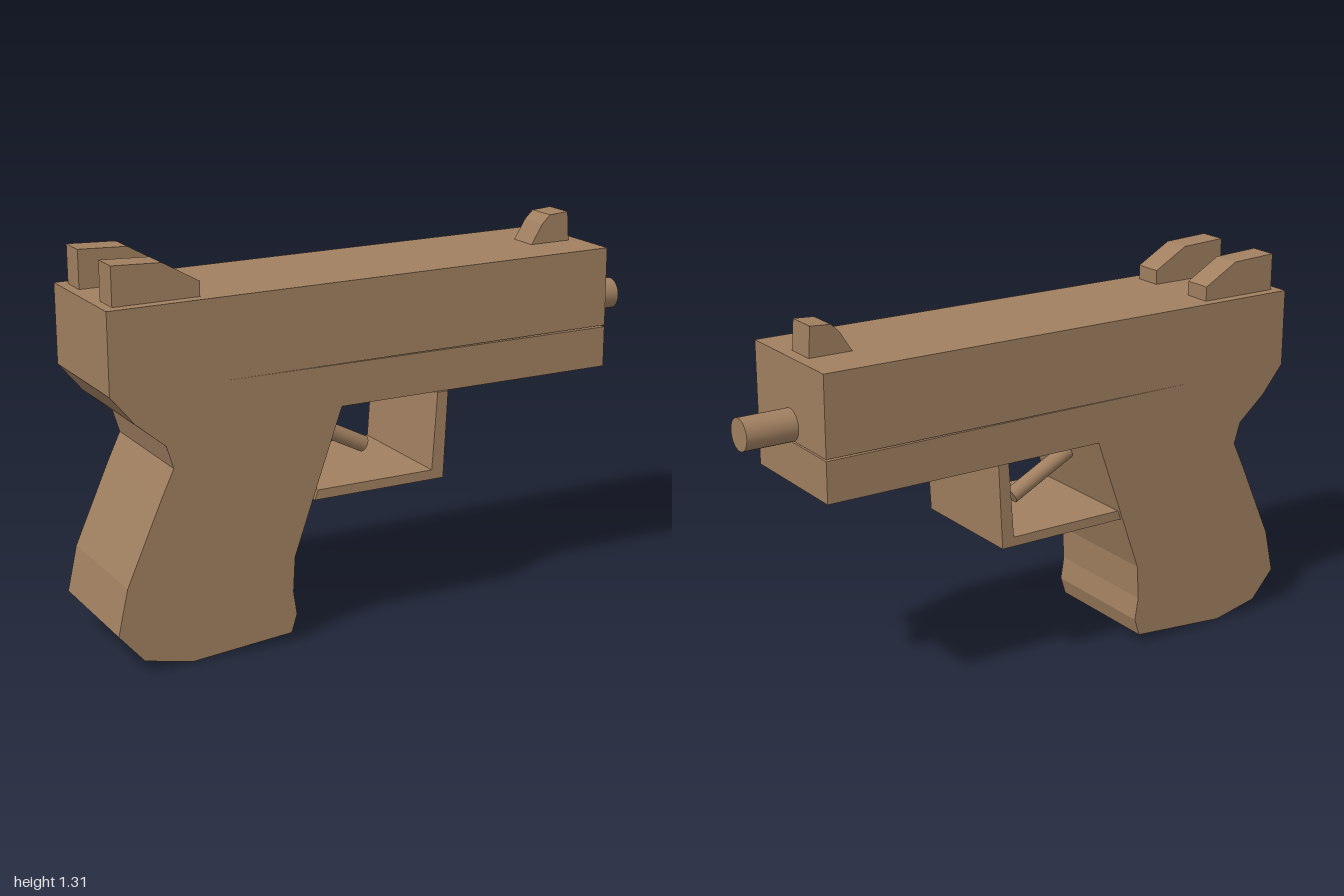
import * as THREE from 'three';

export function createModel() {
  const group = new THREE.Group();
  group.name = 'toyPistol';
  const material = new THREE.MeshStandardMaterial({ color: 0xa07f60, flatShading: true });
  const smooth = new THREE.MeshStandardMaterial({ color: 0xa07f60 });

  // Side outline extruded between two z values
  function slab(name, points, zMin, zMax) {
    const shape = new THREE.Shape(points.map(([x, y]) => new THREE.Vector2(x, y)));
    const geometry = new THREE.ExtrudeGeometry(shape, { depth: zMax - zMin, bevelEnabled: false });
    const mesh = new THREE.Mesh(geometry.translate(0, 0, zMin), material);
    mesh.name = name;
    group.add(mesh);
  }

  // Round rod between two points in the side plane
  function rod(name, from, to, radius, z) {
    const a = new THREE.Vector3(from[0], from[1], z);
    const b = new THREE.Vector3(to[0], to[1], z);
    const dir = b.clone().sub(a);
    const mesh = new THREE.Mesh(new THREE.CylinderGeometry(radius, radius, dir.length(), 32), smooth);
    mesh.position.copy(a).add(b).multiplyScalar(0.5);
    mesh.quaternion.setFromUnitVectors(new THREE.Vector3(0, 1, 0), dir.normalize());
    mesh.name = name;
    group.add(mesh);
  }

  // Grip and slide in one outline, with a narrow seam under the slide
  slab('body', [
    [-0.75, 0], [-0.395, 0.028], [-0.375, 0.09], [-0.387, 0.17], [-0.38, 0.29],
    [-0.305, 0.5], [-0.205, 0.777], [0.822, 0.777], [0.822, 0.917], [-0.6, 0.919],
    [0.822, 0.923], [0.822, 1.194], [-1, 1.184], [-1, 0.917], [-0.92, 0.82],
    [-0.82, 0.735], [-0.797, 0.66], [-0.84, 0.57], [-0.965, 0.29], [-1, 0.135], [-0.915, 0.037],
  ], -0.228, 0.219);

  // Muzzle
  rod('barrel', [0.7, 0.973], [1, 0.973], 0.054, -0.003);

  // Trigger and its guard
  rod('trigger', [-0.26, 0.69], [-0.007, 0.56], 0.028, 0);
  slab('triggerGuard', [
    [-0.312, 0.478], [0.172, 0.478], [0.188, 0.778], [0.148, 0.778], [0.128, 0.511], [-0.3, 0.511],
  ], -0.216, 0.23);

  // Pair of rear sights
  for (const z of [-0.143, 0.131]) {
    slab('rearSight', [
      [-0.966, 1.18], [-0.676, 1.18], [-0.676, 1.235], [-0.8, 1.305], [-0.966, 1.312],
    ], z - 0.049, z + 0.049);
  }

  // Front sight
  slab('frontSight', [
    [0.625, 1.19], [0.78, 1.19], [0.773, 1.295], [0.7, 1.29], [0.67, 1.262],
  ], -0.06, 0.048);

  return group;
}
